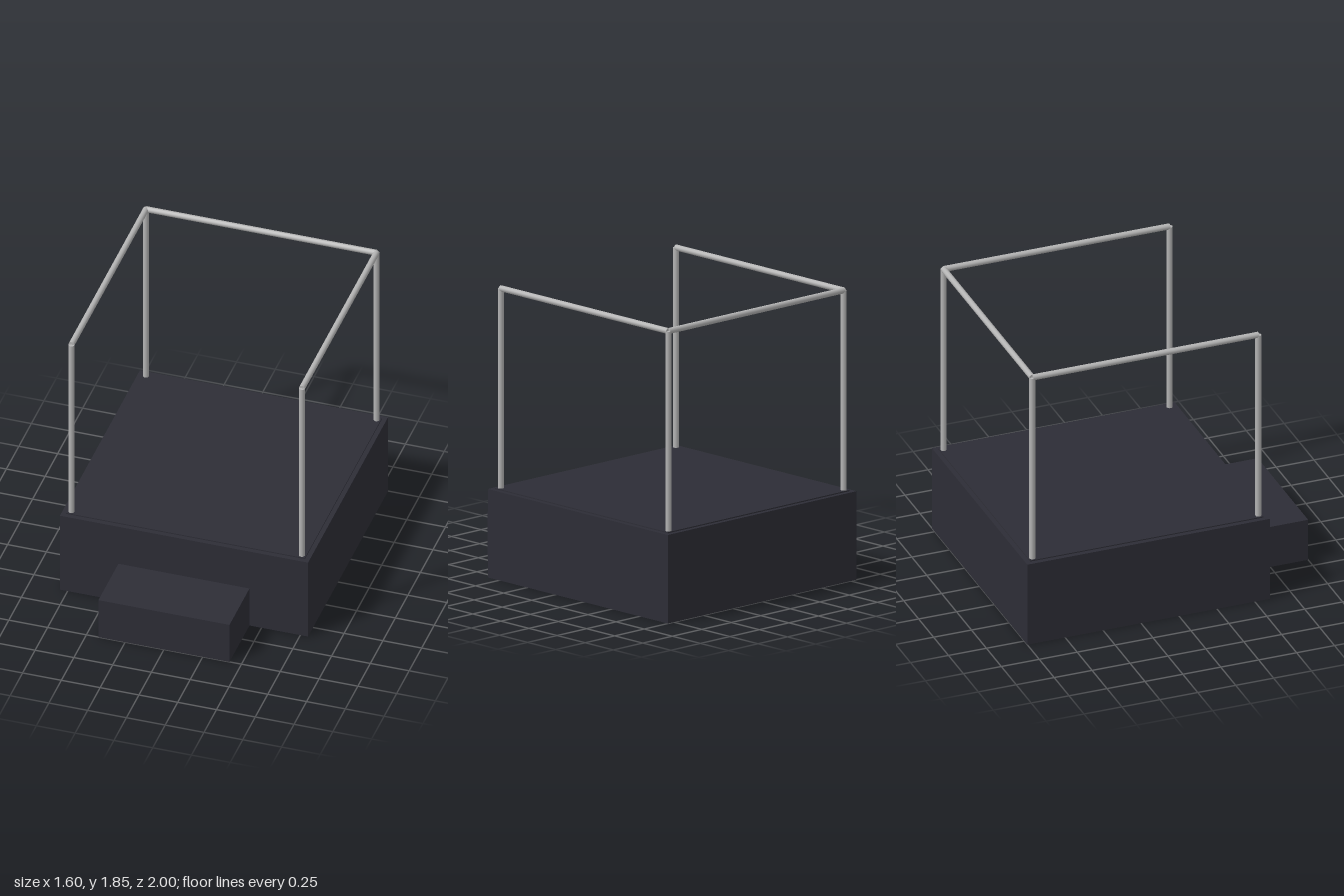
import * as THREE from 'three';

const RADIUS = 0.019;
const POST_X = 0.743, FRONT_Z = 0.545, BACK_Z = -0.945;
const DECK_Y = 0.56, RAIL_Y = 1.83;

export function createModel() {
  const model = new THREE.Group();
  model.name = 'railedPlatform';

  const dark = new THREE.MeshStandardMaterial({ color: 0x2d2d36 });
  dark.name = 'darkCharcoal';
  const steel = new THREE.MeshStandardMaterial({ color: 0xb4b4b4 });
  steel.name = 'lightSteel';

  // Box resting on height y
  function box(name, w, h, d, y, z) {
    const mesh = new THREE.Mesh(new THREE.BoxGeometry(w, h, d), dark);
    mesh.position.set(0, y + h / 2, z);
    mesh.name = name;
    model.add(mesh);
  }

  // Round bar between two points
  function bar(name, from, to) {
    const a = new THREE.Vector3(...from), b = new THREE.Vector3(...to);
    const dir = b.clone().sub(a);
    const mesh = new THREE.Mesh(new THREE.CylinderGeometry(RADIUS, RADIUS, dir.length(), 12), steel);
    mesh.position.copy(a).add(b).multiplyScalar(0.5);
    mesh.quaternion.setFromUnitVectors(new THREE.Vector3(0, 1, 0), dir.normalize());
    mesh.name = name;
    model.add(mesh);
  }

  // Platform, thin floor panel and entry step
  box('platform', 1.6, DECK_Y, 1.6, 0, -0.2);
  box('floorPanel', 1.54, 0.007, 1.54, DECK_Y, -0.2);
  box('step', 0.845, 0.28, 0.4, 0, 0.8);

  // Posts and side rails, mirrored
  for (const [side, s] of [['left', 1], ['right', -1]]) {
    const x = s * POST_X;
    bar(side + 'FrontPost', [x, DECK_Y, FRONT_Z], [x, RAIL_Y, FRONT_Z]);
    bar(side + 'BackPost', [x, DECK_Y, BACK_Z], [x, RAIL_Y, BACK_Z]);
    bar(side + 'Rail', [x, RAIL_Y, FRONT_Z], [x, RAIL_Y, BACK_Z]);
  }
  bar('backRail', [-POST_X, RAIL_Y, BACK_Z], [POST_X, RAIL_Y, BACK_Z]);

  return model;
}
